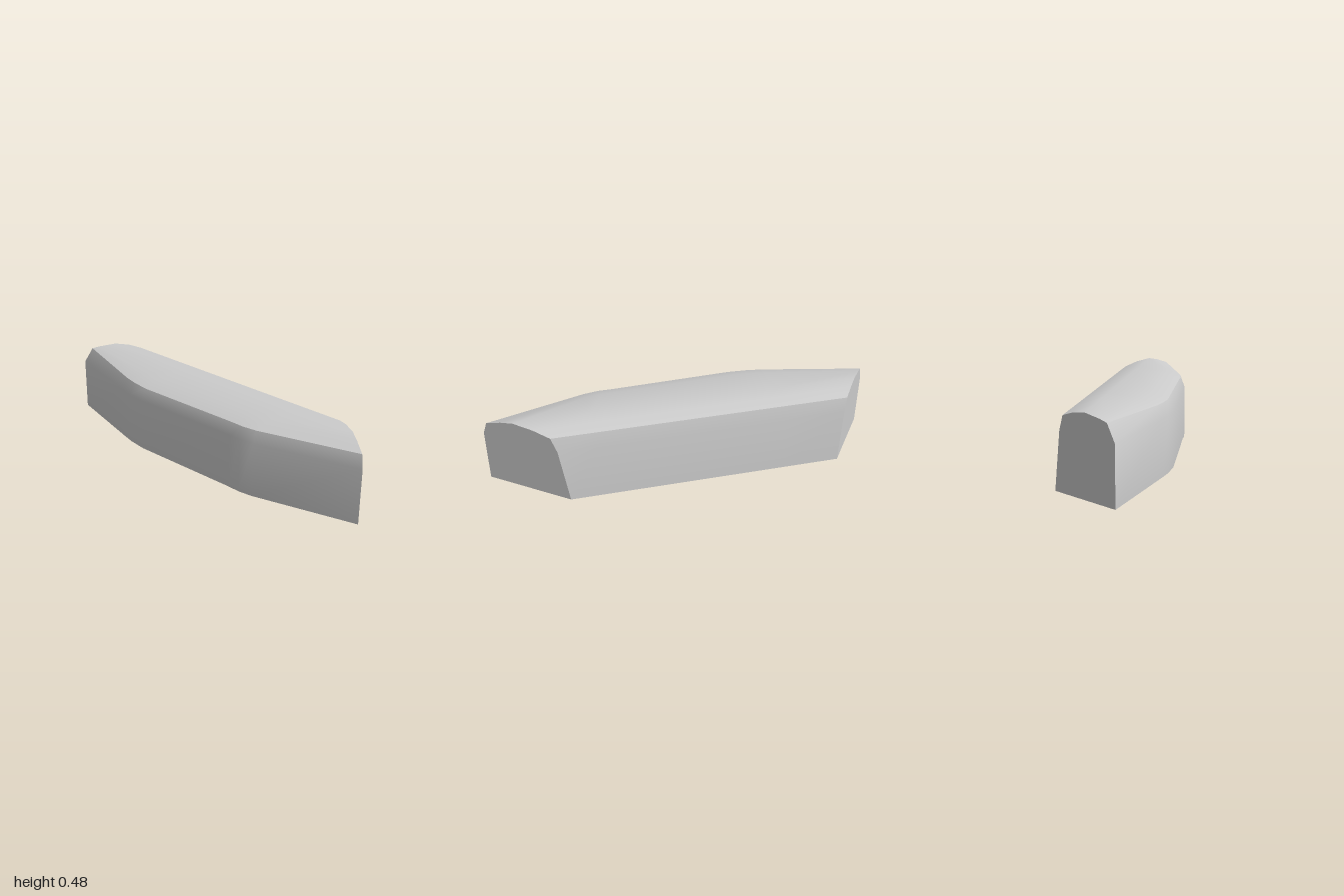
import * as THREE from 'three';
import { toCreasedNormals } from 'three/addons/utils/BufferGeometryUtils.js';

// Straight inner wall runs from A to B on the ground
const A = new THREE.Vector2(-0.27, -1);
const B = new THREE.Vector2(0.76, 0.42);

// Bowed outer wall: x, z, inset of the bevel (share of width), height of the bevel
const stations = [
  [-0.76, -1, 0.12, 0.45],
  [-0.5, -0.38, 0.06, 0.43],
  [-0.46, -0.29, 0.06, 0.428],
  [-0.39, -0.17, 0.06, 0.425],
  [0.1, 0.45, 0.05, 0.425],
  [0.15, 0.52, 0.05, 0.425],
  [0.22, 0.59, 0.05, 0.425],
  [0.76, 1, 0.05, 0.43],
];

// Cross-section at one station, from the inner foot over the crown to the outer foot
function section([x, z, inset, bevelY], i) {
  const outer = new THREE.Vector2(x, z);
  const along = B.clone().sub(A);
  const rel = outer.clone().sub(A);
  const width = Math.abs(rel.cross(along)) / along.length();
  const last = stations.length - 1;
  const t = i === 0 ? 0 : i === last ? 1 : rel.dot(along) / along.lengthSq();
  const inner = A.clone().addScaledVector(along, t);
  const profile = [
    [0, 0], [0.037, 0.35], [0.061, 0.44], [0.13, 0.467], [0.21, 0.48],
    [width * 0.77, 0.463], [width * (1 - inset), bevelY], [width, 0.35], [width, 0],
  ];
  return profile.map(([d, y]) => {
    const p = inner.clone().lerp(outer, d / width);
    return new THREE.Vector3(p.x, y, p.y);
  });
}

// Skin neighbouring sections
function skin(rings) {
  const n = rings[0].length;
  const pts = [];
  for (let i = 0; i < rings.length - 1; i++) {
    for (let j = 0; j < n; j++) {
      const k = (j + 1) % n;
      const a = rings[i][j], b = rings[i][k], c = rings[i + 1][j], d = rings[i + 1][k];
      pts.push(a, b, c, b, d, c);
    }
  }
  return toCreasedNormals(new THREE.BufferGeometry().setFromPoints(pts), 0.6);
}

// Flat cap closing a convex section
function cap(ring, flip) {
  const pts = [];
  for (let j = 1; j < ring.length - 1; j++) {
    pts.push(ring[0], flip ? ring[j + 1] : ring[j], flip ? ring[j] : ring[j + 1]);
  }
  const geo = new THREE.BufferGeometry().setFromPoints(pts);
  geo.computeVertexNormals();
  return geo;
}

export function createModel() {
  const group = new THREE.Group();
  group.name = 'curvedBlock';
  const material = new THREE.MeshStandardMaterial({ color: 0xcccccc });
  const add = (name, geo) => {
    const mesh = new THREE.Mesh(geo, material);
    mesh.name = name;
    group.add(mesh);
  };

  const rings = stations.map(section);
  add('body', skin(rings));
  add('backEnd', cap(rings[0], true));
  add('leftEnd', cap(rings[rings.length - 1], false));
  return group;
}
